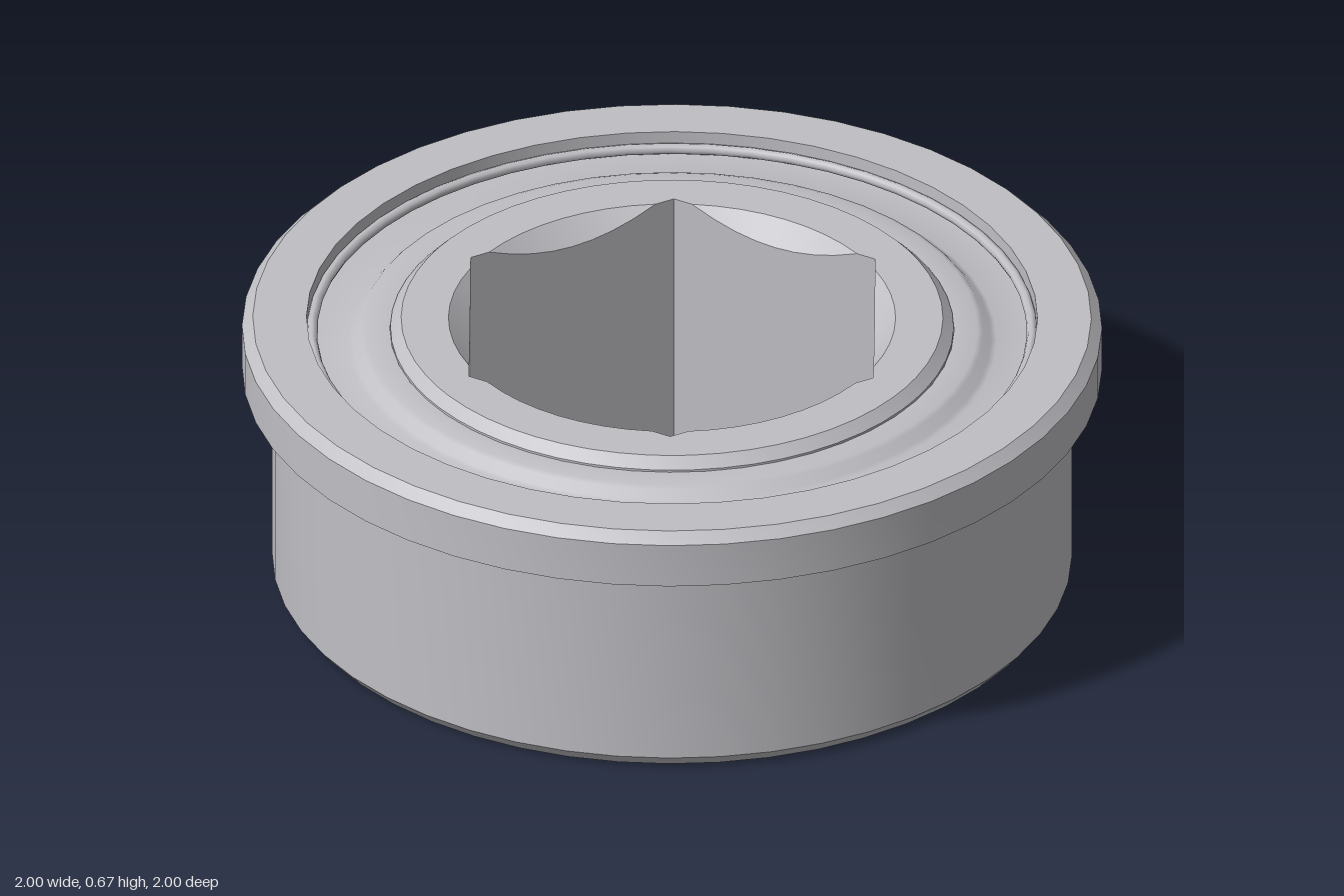
import * as THREE from 'three';
import { toCreasedNormals } from 'three/addons/utils/BufferGeometryUtils.js';

const H = 0.67;          // overall height
const SEGMENTS = 48;
const HEX = 0.47;        // hex bore, centre to flat
const BORE = 0.52;       // radius of the conical bore chamfer at the end faces
const CREASE = 0.5;

// Revolve a closed [radius, y] profile, keeping its corners sharp
function revolve(profile) {
  const points = profile.map(([r, y]) => new THREE.Vector2(r, y));
  points.push(points[0].clone());
  return toCreasedNormals(new THREE.LatheGeometry(points, SEGMENTS), CREASE);
}

// Inner ring: round outside, hexagonal bore with a conical chamfer at both ends
function innerRingGeometry() {
  const cut = Math.acos(HEX / BORE);
  const steps = [-Math.PI / 6];
  for (let i = 0; i <= 8; i++) steps.push(cut * (i / 4 - 1));
  const angles = [];
  for (let side = 0; side < 6; side++) {
    for (const t of steps) angles.push([Math.PI / 6 + side * Math.PI / 3 + t, t]);
  }

  const positions = [];
  const index = [];
  let count = 0;
  for (const [angle, t] of angles) {
    const hex = HEX / Math.cos(t);
    const rim = Math.max(hex, BORE);
    const drop = rim - hex;
    const section = [
      [0.63, 0], [0.655, 0.025], [0.655, H - 0.025], [0.63, H],
      [rim, H], [hex, H - drop], [hex, drop], [rim, 0],
    ];
    count = section.length;
    for (const [r, y] of section) positions.push(r * Math.sin(angle + Math.PI / 2), y, r * Math.cos(angle + Math.PI / 2));
  }
  const n = angles.length;
  for (let i = 0; i < n; i++) {
    for (let j = 0; j < count; j++) {
      const k = (j + 1) % count;
      const a = i * count + j, b = i * count + k;
      const c = ((i + 1) % n) * count + j, d = ((i + 1) % n) * count + k;
      index.push(a, c, b, c, d, b);
    }
  }
  const geometry = new THREE.BufferGeometry();
  geometry.setAttribute('position', new THREE.Float32BufferAttribute(positions, 3));
  geometry.setIndex(index);
  return toCreasedNormals(geometry, CREASE);
}

export function createModel() {
  const model = new THREE.Group();
  model.name = 'flangedHexBearing';
  const steel = new THREE.MeshStandardMaterial({ color: 0xc0bfc4 });
  steel.name = 'steel';

  const add = (name, geometry, parent = model) => {
    const mesh = new THREE.Mesh(geometry, steel);
    mesh.name = name;
    parent.add(mesh);
    return mesh;
  };

  // Outer ring with flange and relief groove
  add('outerRing', revolve([
    [0.905, 0], [0.93, 0.03], [0.93, 0.495], [0.905, 0.495], [0.905, 0.535],
    [1, 0.535], [1, 0.645], [0.975, H], [0.85, H], [0.85, 0],
  ]));

  add('innerRing', innerRingGeometry());

  // Stepped dust shield, raised towards the inner ring
  const shield = revolve([
    [0.656, H - 0.07], [0.71, H - 0.07], [0.75, H - 0.09], [0.851, H - 0.09],
    [0.851, H - 0.06], [0.755, H - 0.06], [0.742, H - 0.055],
    [0.724, H - 0.035], [0.711, H - 0.03], [0.656, H - 0.03],
  ]);

  // Split retaining wire, with the gap on the -x, +z side
  const wireRadius = 0.838;
  const arc = THREE.MathUtils.degToRad(317);
  const wire = new THREE.TorusGeometry(wireRadius, 0.013, 8, SEGMENTS, arc);
  wire.rotateZ(Math.PI).rotateX(Math.PI / 2);
  const wireEnd = new THREE.SphereGeometry(0.013, 8, 6);

  for (const end of ['top', 'bottom']) {
    const isTop = end === 'top';
    const plate = add(end + 'Shield', shield);
    if (!isTop) {
      plate.rotation.x = Math.PI;
      plate.position.y = H;
    }
    const ring = new THREE.Group();
    ring.name = end + 'RetainingRing';
    ring.position.y = isTop ? H - 0.038 : 0.038;
    add('wire', wire, ring);
    for (const angle of [Math.PI, Math.PI + arc]) {
      add('wireEnd', wireEnd, ring).position.set(wireRadius * Math.cos(angle), 0, wireRadius * Math.sin(angle));
    }
    model.add(ring);
  }
  return model;
}
